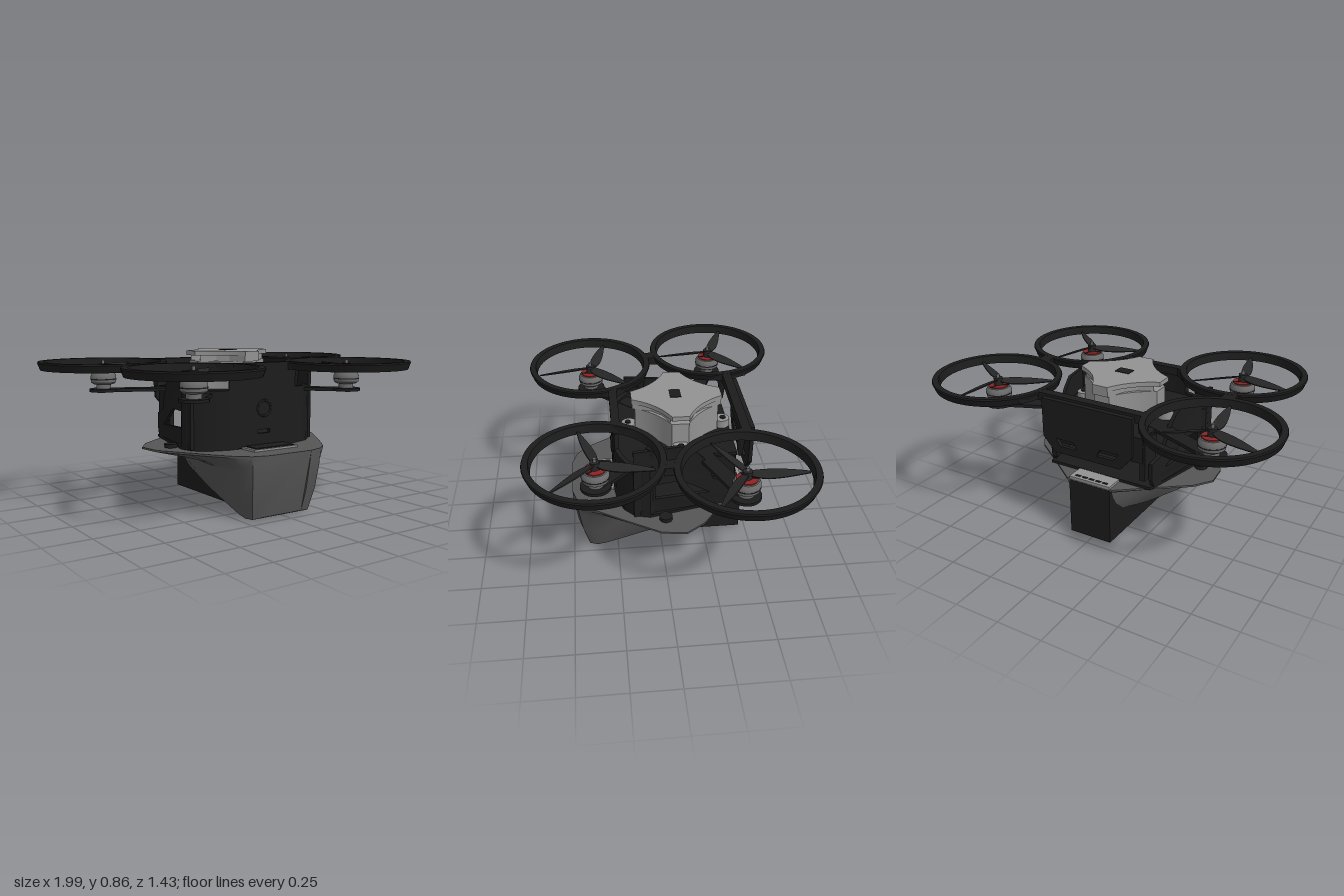
import * as THREE from 'three';
import { toCreasedNormals } from 'three/addons/utils/BufferGeometryUtils.js';

const flat = (color, side = THREE.FrontSide) => new THREE.MeshStandardMaterial({ color, side });

export function createModel() {
  const group = new THREE.Group();
  const named = (name, m) => { m.name = name; return m; };
  const black = named('black', flat(0x1c1c1c));
  const propBlack = named('propellerBlack', flat(0x262626, THREE.DoubleSide));
  const hullGrey = named('hullGrey', flat(0x555555, THREE.DoubleSide));
  const lightGrey = named('lightGrey', flat(0x929292));
  const steel = named('steelGrey', flat(0x6c6c6c));
  const red = named('red', flat(0x8c2424));

  const add = (name, geo, mat, x = 0, y = 0, z = 0, parent = group) => {
    const m = new THREE.Mesh(geo, mat);
    m.name = name;
    m.position.set(x, y, z);
    parent.add(m);
    return m;
  };
  const box = (w, h, d) => new THREE.BoxGeometry(w, h, d);
  const cyl = (r, h, n = 24, r2 = r) => new THREE.CylinderGeometry(r, r2, h, n);
  const poly = pts => new THREE.Shape(pts.map(p => new THREE.Vector2(p[0], p[1])));
  const extrude = (shape, depth) => new THREE.ExtrudeGeometry(shape, { depth, bevelEnabled: false, curveSegments: 16 });
  // Plan outline in (x, z), raised from y0 to y1
  const plan = (pts, y0, y1) =>
    extrude(poly(pts.map(([x, z]) => [x, -z])), y1 - y0).rotateX(-Math.PI / 2).translate(0, y0, 0);
  const mirrored = pts => [...pts, ...pts.map(([x, z]) => [-x, z]).reverse()];

  // Lower hull: cross-sections from nose to tail
  // [z, keel half width, keel y, shoulder half width, shoulder y, rim half width]
  const stations = [
    [0.49, 0.12, 0.01, 0.13, 0.26, 0.14],
    [0.465, 0.185, 0, 0.22, 0.26, 0.225],
    [0.41, 0.2, 0, 0.25, 0.26, 0.29],
    [0.34, 0.2, 0.01, 0.26, 0.255, 0.34],
    [0.2, 0.185, 0.03, 0.27, 0.255, 0.43],
    [0.03, 0.165, 0.065, 0.265, 0.26, 0.535],
    [-0.1, 0.15, 0.095, 0.245, 0.27, 0.55],
    [-0.2, 0.14, 0.125, 0.22, 0.285, 0.48],
    [-0.32, 0.126, 0.165, 0.17, 0.3, 0.32],
    [-0.46, 0.1, 0.23, 0.115, 0.32, 0.14],
  ];
  const pos = [], idx = [];
  let n = 0;
  for (const [z, b, yb, xs, ys, xf] of stations) {
    const half = [[xf, 0.345], [xf, 0.335], [xs + (xf - xs) * 0.3, ys + (0.335 - ys) * 0.35], [xs, ys],
      [b + (xs - b) * 0.65, yb + (ys - yb) * 0.5], [b, yb]];
    const loop = mirrored(half);
    n = loop.length;
    for (const [x, y] of loop) {
      const lean = Math.max(0, (z - 0.2) / 0.29) * 0.06 * (1 - y / 0.345) ** 2;
      pos.push(x, y, z - lean);
    }
  }
  for (let s = 0; s < stations.length - 1; s++)
    for (let i = 0; i < n; i++) {
      const a = s * n + i, b = s * n + (i + 1) % n;
      idx.push(a, b, a + n, b, b + n, a + n);
    }
  const last = (stations.length - 1) * n;
  for (let i = 1; i < n - 1; i++) idx.push(0, i + 1, i, last, last + i, last + i + 1);
  const hull = new THREE.BufferGeometry();
  hull.setAttribute('position', new THREE.Float32BufferAttribute(pos, 3));
  hull.setIndex(idx);
  add('hull', toCreasedNormals(hull.toNonIndexed(), 0.6), hullGrey);
  add('hullCore', box(0.25, 0.32, 0.86), black, 0, 0.177, -0.031);
  add('noseFrame', box(0.29, 0.012, 0.11), lightGrey, 0, 0.35, 0.315);
  add('noseHatch', box(0.25, 0.016, 0.095), black, 0, 0.354, 0.315);
  add('tailPlate', box(0.25, 0.014, 0.15), lightGrey, 0, 0.351, -0.385);
  for (let i = -2; i <= 2; i++) add('tailSlot', box(0.03, 0.004, 0.014), black, i * 0.042, 0.359, -0.435);

  // Body: floor, deck, curved front wall with a slot, side walls with windows
  const outline = mirrored([[0.22, 0.25], [0.33, 0.215], [0.39, 0.16], [0.41, 0.08], [0.31, -0.36]]);
  add('floor', plan(outline, 0.344, 0.36), black);
  add('deck', plan(mirrored([[0.2, 0.24], [0.3, 0.2], [0.37, 0.1], [0.33, -0.1], [0.28, -0.25], [0.28, -0.39]]), 0.625, 0.645), black);
  const wall = [[0.04, 0.26], [0.15, 0.258], [0.22, 0.25], [0.29, 0.23], [0.34, 0.205], [0.385, 0.165], [0.405, 0.12], [0.41, 0.08]];
  const band = (pts, s) => [...pts, ...pts.map(([x, z]) => [x * 0.95, z - 0.022]).reverse()].map(([x, z]) => [s * x, z]);
  const side = poly([[0.165, 0.35], [0.165, 0.755], [-0.09, 0.755], [-0.16, 0.71], [-0.22, 0.635], [-0.26, 0.52],
    [-0.35, 0.49], [-0.35, 0.4], [-0.33, 0.35]]);
  side.holes.push(poly([[0.052, 0.455], [0.052, 0.545], [-0.08, 0.543], [-0.13, 0.515], [-0.245, 0.435]]));
  for (const s of [-1, 1]) {
    add('frontWall', plan(band(wall, s), 0.35, 0.66), black);
    add('upperFrontWall', plan(band(wall.slice(0, 3), s), 0.66, 0.755), black);
    const g = extrude(side, 0.02).rotateY(-Math.PI / 2).translate(0.01, 0, 0);
    const p = g.attributes.position;
    for (let i = 0; i < p.count; i++) {
      const z = p.getZ(i);
      p.setX(i, p.getX(i) + s * (0.395 - Math.max(0, 0.1 - z) * 0.2));
    }
    g.computeVertexNormals();
    add('sideWall', g, black);
    add('rearSideWall', box(0.03, 0.23, 0.12), black, s * 0.275, 0.515, -0.32);
    add('foot', cyl(0.035, 0.02), black, s * 0.43, 0.357, 0);
  }
  add('frontWallLower', box(0.082, 0.07, 0.022), black, 0, 0.385, 0.249);
  add('frontWallUpper', box(0.082, 0.315, 0.022), black, 0, 0.5975, 0.249);
  add('frontPort', new THREE.TorusGeometry(0.042, 0.006, 8, 32), black, 0, 0.555, 0.26);
  add('rearBulkhead', box(0.56, 0.13, 0.02), black, 0, 0.565, -0.375);

  // Rear panel with chamfered corners and two slots
  const panel = poly([[-0.27, 0.755], [-0.27, 0.57], [-0.2, 0.49], [0.2, 0.49], [0.27, 0.57], [0.27, 0.755]]);
  for (const s of [-1, 1])
    panel.holes.push(poly([[s * 0.06, 0.53], [s * 0.16, 0.53], [s * 0.19, 0.57], [s * 0.08, 0.57]]));
  add('rearPanel', extrude(panel, 0.02), black, 0, 0, -0.475);

  // Guard frame bars and joints between the rings
  add('frontBar', box(0.4, 0.045, 0.045), black, 0, 0.777, 0.24);
  add('rearBar', box(0.66, 0.045, 0.05), black, 0, 0.777, -0.425);
  add('rearPanelRail', box(0.54, 0.03, 0.03), black, 0, 0.77, -0.462);
  for (const s of [-1, 1]) {
    add('sideJoint', box(0.07, 0.045, 0.08), black, s * 0.575, 0.777, -0.01);
    add('rearGusset', plan([[s * 0.29, -0.4], [s * 0.35, -0.55], [s * 0.31, -0.32]], 0.756, 0.799), black);
    add('frontGusset', plan([[s * 0.15, 0.23], [s * 0.28, 0.11], [s * 0.17, 0.31]], 0.756, 0.799), black);
    add('strut', cyl(0.03, 0.12, 4, 0.012), black, s * 0.37, 0.7, 0.07);
    add('rearStrut', cyl(0.025, 0.12, 4, 0.012), black, s * 0.3, 0.7, -0.4);
  }

  // Top housing: four-pointed block with concave sides and a cross tunnel
  const star = (rx, rz) => {
    const s = new THREE.Shape();
    const w = 0.045, k = 0.105;
    s.moveTo(rx, -w);
    s.lineTo(rx, w);
    s.quadraticCurveTo(k, k, w, rz);
    s.lineTo(-w, rz);
    s.quadraticCurveTo(-k, k, -rx, w);
    s.lineTo(-rx, -w);
    s.quadraticCurveTo(-k, -k, -w, -rz);
    s.lineTo(w, -rz);
    s.quadraticCurveTo(k, -k, rx, -w);
    return s;
  };
  const starLayer = (name, r, y0, y1) =>
    add(name, toCreasedNormals(extrude(star(r, r), y1 - y0).rotateX(-Math.PI / 2), 0.5), lightGrey, 0, y0, -0.095);
  starLayer('housing', 0.225, 0.645, 0.8);
  starLayer('housingLid', 0.243, 0.83, 0.855);
  for (const s of [-1, 1]) {
    const half = [[0.21, 0.05], [0.13, 0.085], [0.08, 0.14], [0.045, 0.24]].map(([x, z]) => [x, s * z - 0.095]);
    add('housingRib', plan(mirrored(half), 0.8, 0.83), lightGrey);
  }
  add('housingVent', box(0.085, 0.006, 0.06), black, 0, 0.855, -0.09);
  for (let i = 0; i < 4; i++) {
    const a = i * Math.PI / 2, x = Math.cos(a), z = Math.sin(a);
    add('mountLug', cyl(0.042, 0.045), lightGrey, x * 0.255, 0.667, z * 0.255 - 0.095);
    add('lugScrew', cyl(0.016, 0.008, 12), black, x * 0.262, 0.692, z * 0.262 - 0.095);
  }

  // Rotor units: ring guard, arm, motor and three-bladed propeller
  const ringGeo = toCreasedNormals(new THREE.LatheGeometry(
    [[0.31, 0.755], [0.338, 0.755], [0.352, 0.792], [0.349, 0.8], [0.318, 0.8], [0.31, 0.755]].map(p => new THREE.Vector2(...p)), 72), 0.5);
  const motorGeo = toCreasedNormals(new THREE.LatheGeometry(
    [[0, 0.672], [0.055, 0.672], [0.068, 0.682], [0.07, 0.7], [0.07, 0.718], [0.06, 0.735], [0.03, 0.74], [0, 0.74]]
      .map(p => new THREE.Vector2(...p)), 32), 0.6);
  const blade = new THREE.Shape();
  blade.moveTo(0.01, -0.014);
  blade.bezierCurveTo(0.08, -0.05, 0.16, -0.032, 0.3, -0.004);
  blade.lineTo(0.3, 0.008);
  blade.bezierCurveTo(0.2, 0.024, 0.1, 0.03, 0.01, 0.014);
  const bladeGeo = extrude(blade, 0.006).rotateX(-Math.PI / 2 + 0.3);
  const rotors = [
    [-0.645, -0.365, 203, -0.25, -0.2], [0.645, -0.365, -86, 0.25, -0.2],
    [-0.5, 0.357, 197, -0.25, 0.1], [0.5, 0.357, 45, 0.25, 0.1],
  ];
  for (const [x, z, angle, ax, az] of rotors) {
    const unit = new THREE.Group();
    unit.name = 'rotorUnit';
    unit.position.set(x, 0, z);
    group.add(unit);
    add('ringGuard', ringGeo, black, 0, 0, 0, unit);
    const dx = ax - x, dz = az - z, len = Math.hypot(dx, dz);
    const arm = add('arm', box(len, 0.018, 0.085), black, dx / 2, 0.638, dz / 2, unit);
    arm.rotation.y = -Math.atan2(dz, dx);
    add('motorMount', cyl(0.078, 0.016), black, 0, 0.638, 0, unit);
    add('motorBase', cyl(0.04, 0.028), steel, 0, 0.659, 0, unit);
    add('motor', motorGeo, steel, 0, 0, 0, unit);
    add('motorBand', cyl(0.071, 0.006, 32), black, 0, 0.7, 0, unit);
    add('motorCap', cyl(0.054, 0.006), red, 0, 0.74, 0, unit);
    add('propellerHub', cyl(0.024, 0.04), propBlack, 0, 0.765, 0, unit);
    add('shaft', cyl(0.009, 0.07, 12), steel, 0, 0.77, 0, unit);
    for (let i = 0; i < 3; i++) {
      const b = add('propellerBlade', bladeGeo, propBlack, 0, 0.768, 0, unit);
      b.rotation.y = -(angle + i * 120) * Math.PI / 180;
      const spoke = add('motorSpoke', box(0.045, 0.006, 0.012), black, 0, 0.742, 0, unit);
      spoke.rotation.y = b.rotation.y;
      spoke.translateX(0.033);
    }
  }
  return group;
}
